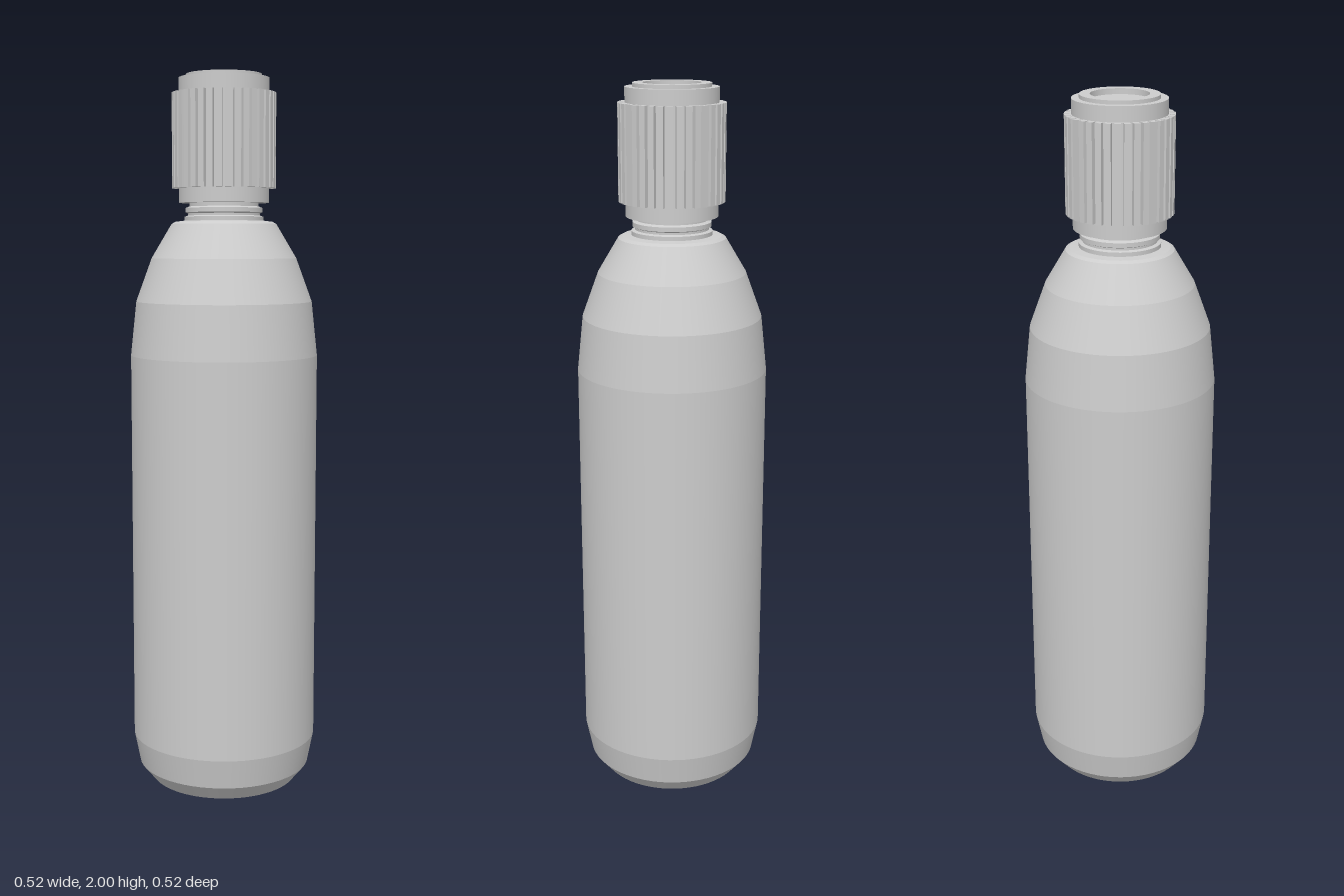
import * as THREE from 'three';
import { mergeGeometries } from 'three/addons/utils/BufferGeometryUtils.js';

const SEGMENTS = 64;

// Revolve a profile: smooth around the axis, with a crisp edge at each profile point.
function bandedLathe(profile) {
  const bands = [];
  for (let i = 0; i < profile.length - 1; i++) {
    const pair = [profile[i], profile[i + 1]].map(([r, y]) => new THREE.Vector2(r, y));
    bands.push(new THREE.LatheGeometry(pair, SEGMENTS));
  }
  return mergeGeometries(bands);
}

// Gear outline extruded upwards to make the grip of the cap.
function ribbedGrip(count, inner, outer, bottom, height) {
  const shape = new THREE.Shape();
  const pitch = (Math.PI * 2) / count;
  for (let i = 0; i < count; i++) {
    const corners = [[-0.36, inner], [-0.33, outer], [0.33, outer], [0.36, inner]];
    corners.forEach(([t, r], k) => {
      const a = (i + t) * pitch + Math.PI / 2;
      const x = Math.cos(a) * r, y = Math.sin(a) * r;
      if (i === 0 && k === 0) shape.moveTo(x, y);
      else shape.lineTo(x, y);
    });
  }
  shape.closePath();
  const geometry = new THREE.ExtrudeGeometry(shape, { depth: height, bevelEnabled: false });
  geometry.rotateX(-Math.PI / 2);
  geometry.translate(0, bottom, 0);
  return geometry;
}

export function createModel() {
  const model = new THREE.Group();
  model.name = 'bottle';
  const grey = new THREE.MeshStandardMaterial({ color: 0xcccccc });
  grey.name = 'light grey';

  const add = (name, geometry, parent = model) => {
    const mesh = new THREE.Mesh(geometry, grey);
    mesh.name = name;
    parent.add(mesh);
  };

  // Body with chamfered foot and tapering shoulder
  add('body', bandedLathe([
    [0, 0], [0.208, 0], [0.245, 0.045], [0.262, 0.13], [0.262, 1.23],
    [0.246, 1.38], [0.202, 1.5], [0.146, 1.594], [0.135, 1.6], [0.11, 1.603], [0, 1.603],
  ]));

  // Neck with two thread rings
  add('neck', bandedLathe([
    [0.11, 1.6], [0.11, 1.614], [0.1, 1.617], [0.1, 1.623],
    [0.107, 1.626], [0.107, 1.638], [0.096, 1.642], [0.096, 1.66],
  ]));

  // Screw cap: plain core, ribbed grip and raised rim around a shallow recess
  const cap = new THREE.Group();
  cap.name = 'cap';
  model.add(cap);
  add('capCore', bandedLathe([
    [0, 1.652], [0.125, 1.652], [0.125, 1.99], [0.105, 1.99], [0.105, 2],
    [0.077, 2], [0.077, 1.985], [0, 1.985],
  ]), cap);
  add('capGrip', ribbedGrip(36, 0.129, 0.144, 1.692, 0.258), cap);

  return model;
}
